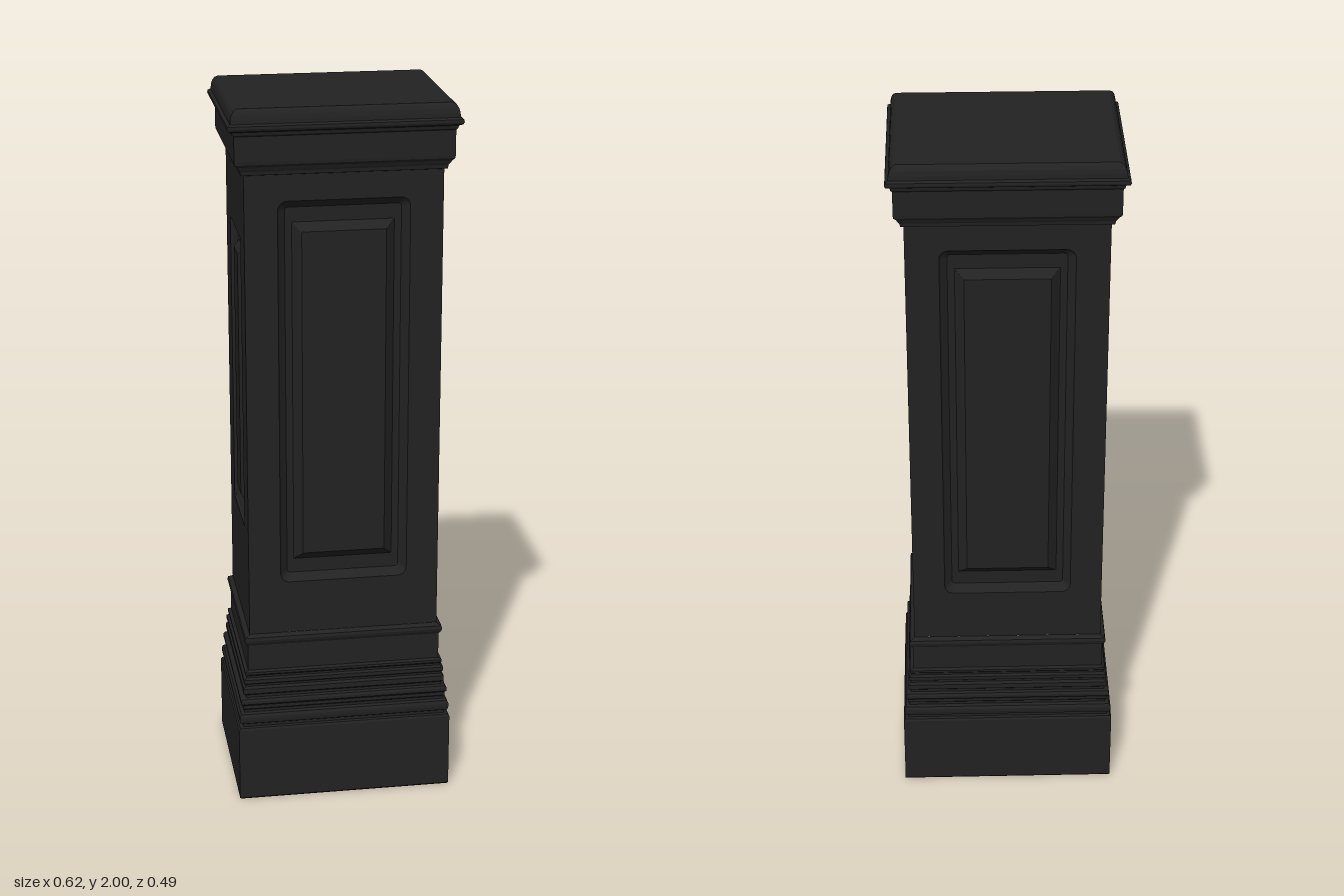
import * as THREE from 'three';

const material = new THREE.MeshStandardMaterial({ color: 0x222222 });
const DEPTH_RATIO = 0.787; // depth of the pedestal relative to its width
const SHAFT_X = 0.267, SHAFT_Z = 0.21, SHAFT_LOW = 0.505, SHAFT_HIGH = 1.82;

// Joins closed loops of points into a flat-shaded skin, optionally closing either end.
function skin(loops, closeStart, closeEnd) {
  const pos = [];
  const tri = (...pts) => pts.forEach((p) => pos.push(...p));
  const n = loops[0].length;
  for (let k = 0; k < loops.length - 1; k++) {
    const a = loops[k], b = loops[k + 1];
    for (let i = 0; i < n; i++) {
      const j = (i + 1) % n;
      tri(a[i], a[j], b[j]);
      tri(a[i], b[j], b[i]);
    }
  }
  const first = loops[0], last = loops[loops.length - 1];
  for (let i = 1; i < n - 1; i++) {
    if (closeStart) tri(first[0], first[i + 1], first[i]);
    if (closeEnd) tri(last[0], last[i], last[i + 1]);
  }
  const g = new THREE.BufferGeometry();
  g.setAttribute('position', new THREE.Float32BufferAttribute(pos, 3));
  g.computeVertexNormals();
  return g;
}

function part(name, geometry) {
  const mesh = new THREE.Mesh(geometry, material);
  mesh.name = name;
  return mesh;
}

// Rectangular moulding swept round the pedestal from [half width, height] pairs.
function moulding(profile, closeStart, closeEnd) {
  const loops = profile.map(([x, y]) => {
    const z = x * DEPTH_RATIO;
    return [[-x, y, z], [x, y, z], [x, y, -z], [-x, y, -z]];
  });
  return skin(loops, closeStart, closeEnd);
}

// Rounded rectangle, counter-clockwise in the xy plane.
function roundedLoop([w, h, depth, r], cy) {
  const pts = [];
  const corners = [[1, 1], [-1, 1], [-1, -1], [1, -1]];
  corners.forEach(([sx, sy], c) => {
    for (let i = 0; i <= 5; i++) {
      const a = (c + i / 5) * Math.PI / 2;
      pts.push([sx * (w - r) + r * Math.cos(a), cy + sy * (h - r) + r * Math.sin(a), depth]);
    }
  });
  return pts;
}

// One shaft face, with a sunk panel around a raised field.
function shaftFace(name, halfWidth, cy, rings) {
  const face = new THREE.Group();
  face.name = name;
  const loops = rings.map((ring) => roundedLoop(ring, cy));
  const shape = new THREE.Shape([
    new THREE.Vector2(-halfWidth, SHAFT_LOW), new THREE.Vector2(halfWidth, SHAFT_LOW),
    new THREE.Vector2(halfWidth, SHAFT_HIGH), new THREE.Vector2(-halfWidth, SHAFT_HIGH),
  ]);
  shape.holes.push(new THREE.Path(loops[0].map(([x, y]) => new THREE.Vector2(x, y))));
  face.add(part('panelSurround', new THREE.ShapeGeometry(shape)));
  face.add(part('raisedPanel', skin(loops, false, true)));
  return face;
}

export function createModel() {
  const model = new THREE.Group();
  model.name = 'pedestal';

  // Plinth block with the stepped mouldings above it
  const base = [
    [0.300, 0], [0.304, 0.004], [0.304, 0.218], [0.300, 0.224],
    [0.290, 0.226], [0.290, 0.234], [0.298, 0.238], [0.301, 0.248], [0.301, 0.258], [0.296, 0.266],
    [0.286, 0.270], [0.286, 0.278], [0.291, 0.282], [0.291, 0.292],
    [0.296, 0.297], [0.296, 0.305], [0.291, 0.311], [0.281, 0.314], [0.281, 0.322],
    [0.288, 0.327], [0.288, 0.342], [0.280, 0.348], [0.280, 0.354],
    [0.286, 0.358], [0.286, 0.369], [0.278, 0.374], [0.278, 0.380],
    [0.282, 0.384], [0.282, 0.391], [0.273, 0.396],
    [0.273, 0.472], [0.279, 0.480], [0.282, 0.488], [0.280, 0.497], [0.270, 0.502],
    [SHAFT_X, SHAFT_LOW],
  ];
  model.add(part('base', moulding(base, true, false)));

  // Shaft faces, wide at front and back, narrow at the sides
  const wide = [
    [0.178, 0.545, 0, 0.025], [0.174, 0.541, -0.006, 0.022], [0.157, 0.524, -0.02, 0.01],
    [0.138, 0.483, -0.02, 0.001], [0.114, 0.46, 0, 0.001],
  ];
  const narrow = (fieldHeight) => [
    [0.118, 0.416, 0, 0.002], [0.115, 0.413, -0.006, 0.002], [0.1, 0.398, -0.016, 0.002],
    [0.058, 0.366, -0.016, 0.001], [0.042, 0.35, fieldHeight, 0.001],
  ];
  const faces = [
    shaftFace('frontFace', SHAFT_X, 1.203, wide),
    shaftFace('leftFace', SHAFT_Z, 1.213, narrow(0.003)),
    shaftFace('backFace', SHAFT_X, 1.203, wide),
    shaftFace('rightFace', SHAFT_Z, 1.213, narrow(0)),
  ];
  faces.forEach((face, i) => {
    const angle = i * Math.PI / 2;
    const out = i % 2 ? SHAFT_X : SHAFT_Z;
    face.rotation.y = angle;
    face.position.set(Math.sin(angle) * out, 0, Math.cos(angle) * out);
    model.add(face);
  });

  // Capital: neck steps, frieze, projecting rim and softly bevelled top
  const cap = [
    [SHAFT_X, SHAFT_HIGH], [0.275, 1.822], [0.277, 1.832], [0.280, 1.836],
    [0.285, 1.845], [0.292, 1.852], [0.293, 1.860], [0.293, 1.928],
    [0.297, 1.932], [0.299, 1.940], [0.309, 1.944], [0.312, 1.950], [0.311, 1.957],
    [0.303, 1.962], [0.302, 1.974], [0.299, 1.986], [0.293, 1.995], [0.284, 2],
  ];
  model.add(part('capital', moulding(cap, false, true)));

  return model;
}
